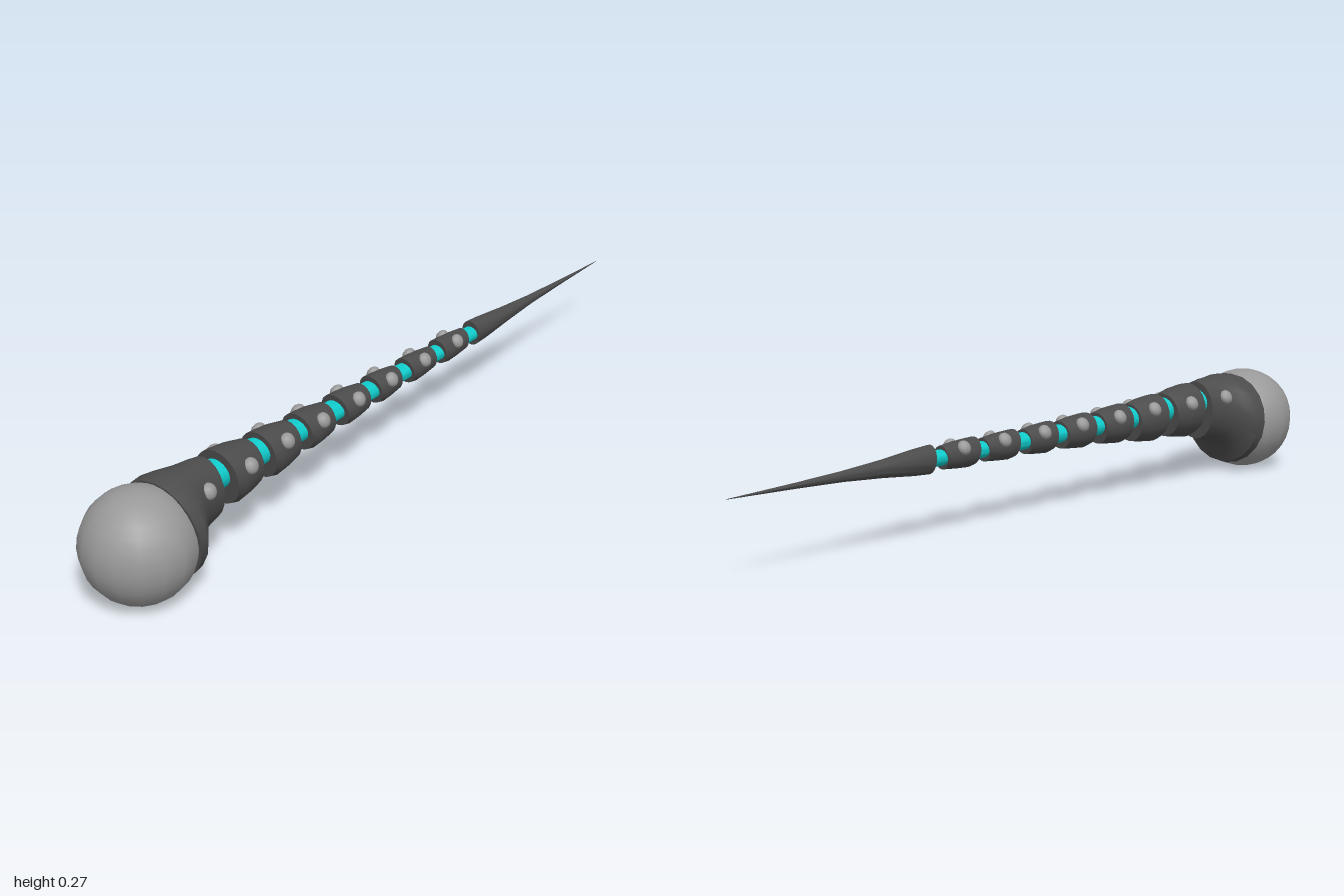
import * as THREE from 'three';
import { toCreasedNormals } from 'three/addons/utils/BufferGeometryUtils.js';

const dark = new THREE.MeshStandardMaterial({ color: 0x4c4c4c });
const cyan = new THREE.MeshStandardMaterial({ color: 0x10cccc });
const grey = new THREE.MeshStandardMaterial({ color: 0x999999 });

// Capped elliptical loft; each ring is [z, top y, bottom y, half width, lean in z from bottom to top]
function loft(rings, sides = 20) {
  const pos = [], idx = [];
  for (const [z, top, bot, rx, lean = 0] of rings) {
    for (let i = 0; i < sides; i++) {
      const a = (i / sides) * Math.PI * 2;
      pos.push(Math.cos(a) * rx, (top + bot) / 2 + (Math.sin(a) * (top - bot)) / 2, z + (Math.sin(a) * lean) / 2);
    }
  }
  const last = (rings.length - 1) * sides;
  for (let r = 0; r < rings.length - 1; r++) {
    for (let i = 0; i < sides; i++) {
      const a = r * sides + i, b = r * sides + ((i + 1) % sides);
      idx.push(a, a + sides, b, b, a + sides, b + sides);
    }
  }
  for (let i = 1; i < sides - 1; i++) {
    idx.push(0, i, i + 1, last, last + i + 1, last + i);
  }
  const g = new THREE.BufferGeometry();
  g.setAttribute('position', new THREE.Float32BufferAttribute(pos, 3));
  g.setIndex(idx);
  return toCreasedNormals(g, 0.7);
}

export function createModel() {
  const model = new THREE.Group();
  model.name = 'segmentedTail';
  const add = (name, geo, mat, parent = model) => {
    const m = new THREE.Mesh(geo, mat);
    m.name = name;
    parent.add(m);
    return m;
  };

  // Ball joint at the front
  add('ballJoint', new THREE.SphereGeometry(0.136, 16, 16), grey).position.set(0, 0.136, 0.864);

  // Flared collar gripping the ball
  add('collar', loft([
    [0.797, 0.264, 0.018, 0.124, 0.022],
    [0.772, 0.269, 0.024, 0.122, 0.012],
    [0.745, 0.269, 0.066, 0.098],
    [0.715, 0.267, 0.087, 0.075],
    [0.68, 0.265, 0.096, 0.066],
    [0.645, 0.26, 0.103, 0.059],
  ]), dark);

  // Flexible core running through the armour
  add('core', loft([
    [0.7, 0.242, 0.166, 0.041],
    [0.48, 0.233, 0.166, 0.037],
    [0.2, 0.217, 0.168, 0.03],
    [-0.1, 0.211, 0.169, 0.023],
    [-0.42, 0.208, 0.17, 0.021],
  ]), cyan);

  // Pairs of domed studs, facing outwards and slightly up
  const studGeo = new THREE.SphereGeometry(1, 12, 8);
  function studs(x, y, z, r, parent) {
    for (const s of [-1, 1]) {
      const m = add(s > 0 ? 'leftStud' : 'rightStud', studGeo, grey, parent);
      m.position.set(s * x, y, z);
      m.scale.set(r * 0.75, r, r);
      m.rotation.z = s * 0.5;
    }
  }
  studs(0.062, 0.217, 0.7, 0.02, model);

  // Armour segments: front z, back z, top y, bottom y, half width, stud y
  const segments = [
    [0.604, 0.502, 0.26, 0.117, 0.068, 0.217],
    [0.461, 0.358, 0.247, 0.124, 0.057, 0.217],
    [0.32, 0.223, 0.238, 0.138, 0.05, 0.213],
    [0.178, 0.08, 0.232, 0.145, 0.044, 0.211],
    [0.037, -0.055, 0.228, 0.15, 0.037, 0.209],
    [-0.1, -0.203, 0.225, 0.153, 0.033, 0.208],
    [-0.24, -0.346, 0.225, 0.154, 0.031, 0.208],
  ];
  segments.forEach(([zf, zb, top, bot, rx, sy], i) => {
    const g = new THREE.Group();
    g.name = `segment${i + 1}`;
    model.add(g);
    const h = top - bot, d = zf - zb;
    add('armour', loft([
      [zf, top, bot + h * 0.04, rx * 0.96, 0.012],
      [zf - d * 0.2, top - h * 0.01, bot, rx, 0.008],
      [zf - d * 0.6, top - h * 0.04, bot + h * 0.03, rx * 0.93],
      [zb, top - h * 0.11, bot + h * 0.08, rx * 0.78, -0.005],
    ]), dark, g);
    const t = (sy - (top + bot) / 2) / (h / 2);
    studs(rx * Math.sqrt(1 - t * t) * 0.92, sy, (zf + zb) / 2, 0.02 - i * 0.0003, g);
  });

  // Needle tip
  add('tip', loft([
    [-0.388, 0.225, 0.155, 0.027, 0.008],
    [-0.44, 0.221, 0.158, 0.026],
    [-0.54, 0.211, 0.168, 0.019],
    [-0.66, 0.203, 0.177, 0.011],
    [-0.8, 0.197, 0.183, 0.006],
    [-1, 0.1905, 0.1895, 0.0005],
  ]), dark);

  return model;
}
